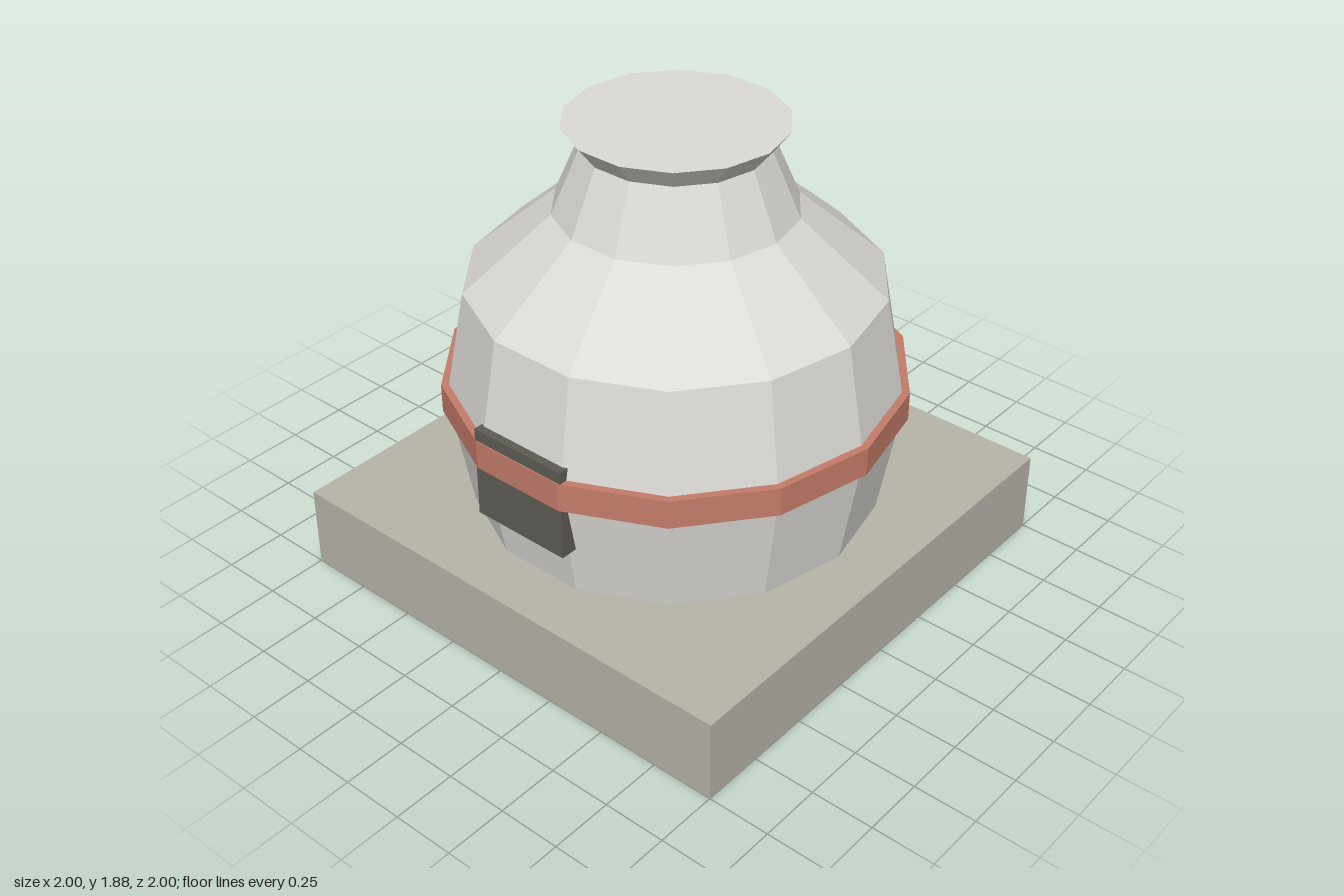
import * as THREE from 'three';

const SIDES = 14;
const TURN = Math.PI / SIDES; // puts a flat facet at the front

const material = (name, color) => {
  const m = new THREE.MeshStandardMaterial({ color });
  m.name = name;
  return m;
};

export function createModel() {
  const plaster = material('pale plaster', 0xdddbd6);
  const stone = material('grey stone', 0xb7b4a9);
  const clay = material('red clay', 0xc47c6a);
  const iron = material('dark iron', 0x5f5c55);

  const model = new THREE.Group();
  const add = (name, geometry, mat, x = 0, y = 0, z = 0) => {
    const mesh = new THREE.Mesh(geometry, mat);
    mesh.name = name;
    mesh.position.set(x, y, z);
    model.add(mesh);
  };

  // Faceted solid of revolution from [radius, height] pairs, bottom to top
  const faceted = (profile) => {
    const points = profile.map(([r, y]) => new THREE.Vector2(r, y));
    const geometry = new THREE.LatheGeometry(points, SIDES, TURN).toNonIndexed();
    geometry.computeVertexNormals();
    return geometry;
  };

  // Square plinth
  add('base', new THREE.BoxGeometry(2, 0.335, 2), stone, 0, 0.1675, 0);

  // Bulging chamber, shoulder and tapering neck
  add('body', faceted([
    [0, 0.335], [0.79, 0.335], [0.872, 0.81], [0.79, 1.255],
    [0.457, 1.545], [0.35, 1.795], [0, 1.795],
  ]), plaster);

  // Flared, closed rim
  add('rim', faceted([[0.35, 1.795], [0.415, 1.88], [0, 1.88]]), plaster);

  // Band around the widest part
  add('band', faceted([
    [0.85, 0.757], [0.89, 0.757], [0.89, 0.872], [0.85, 0.872],
  ]), clay);

  // Door panel behind the band
  add('door', new THREE.BoxGeometry(0.415, 0.37, 0.1), iron, 0, 0.735, 0.813);

  return model;
}
